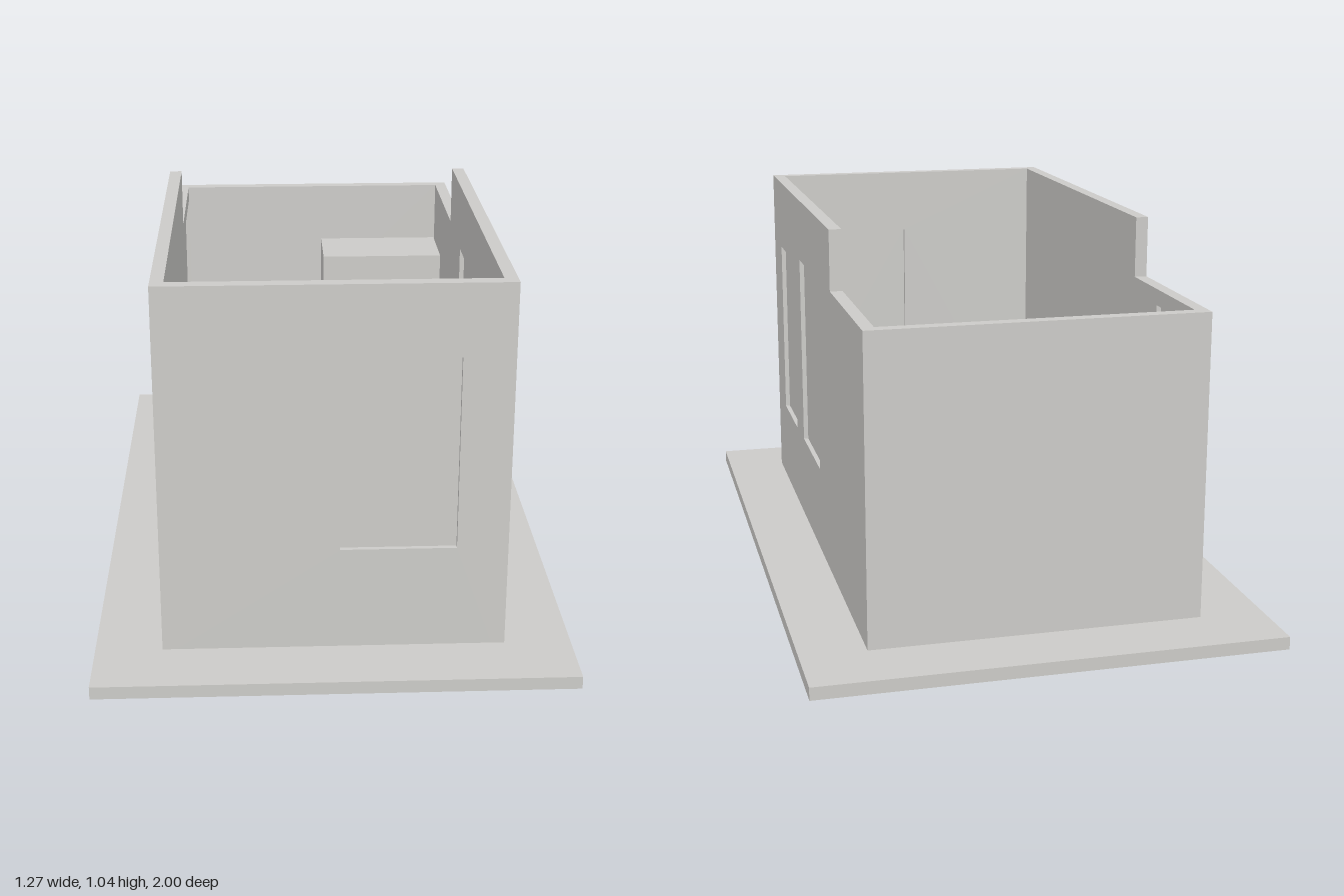
import * as THREE from 'three';
import { RoundedBoxGeometry } from 'three/addons/geometries/RoundedBoxGeometry.js';

const FLOOR = 0.035, LOW = 0.875, HIGH = 1.045, T = 0.035;
const W = 0.455, D = 0.82, STEP = -0.33;

export function createModel() {
  const plaster = new THREE.MeshStandardMaterial({ color: 0xcccbc8 });
  plaster.name = 'plasterGrey';
  const slate = new THREE.MeshStandardMaterial({ color: 0x7c7c8e });
  slate.name = 'slateBlue';

  const model = new THREE.Group();
  model.name = 'roomModel';

  const group = (name, parent = model) => {
    const g = new THREE.Group();
    g.name = name;
    parent.add(g);
    return g;
  };
  const add = (parent, name, geometry, material = plaster) => {
    const m = new THREE.Mesh(geometry, material);
    m.name = name;
    parent.add(m);
    return m;
  };
  // Box given by its limits on each axis; a radius rounds its edges
  const box = (parent, name, [x0, x1], [y0, y1], [z0, z1], material = plaster, r = 0) => {
    const s = [x1 - x0, y1 - y0, z1 - z0];
    const geo = r ? new RoundedBoxGeometry(...s, 4, r) : new THREE.BoxGeometry(...s);
    const m = add(parent, name, geo, material);
    m.position.set((x0 + x1) / 2, (y0 + y1) / 2, (z0 + z1) / 2);
    return m;
  };
  // Straight round bar between two points
  const bar = (parent, name, a, b, r) => {
    const p = new THREE.Vector3(...a), q = new THREE.Vector3(...b);
    const m = add(parent, name, new THREE.CylinderGeometry(r, r, p.distanceTo(q), 10));
    m.position.copy(p).add(q).multiplyScalar(0.5);
    m.quaternion.setFromUnitVectors(new THREE.Vector3(0, 1, 0), q.sub(p).normalize());
    return m;
  };
  const rectHole = (u0, u1, v0, v1) => new THREE.Path([
    [u0, v0], [u0, v1], [u1, v1], [u1, v0]].map(p => new THREE.Vector2(...p)));
  const wallGeometry = (points, holes) => {
    const shape = new THREE.Shape(points.map(p => new THREE.Vector2(...p)));
    shape.holes = holes;
    return new THREE.ExtrudeGeometry(shape, { depth: T, bevelEnabled: false });
  };

  box(model, 'baseSlab', [-0.633, 0.633], [0, FLOOR], [-1, 1]);

  // Walls, stepped down towards the back; the side profiles run along -z
  const walls = group('walls');
  const top = [[-STEP, LOW], [-STEP, HIGH], [-D, HIGH]];
  const sideWall = (name, x, bottom, holes) => {
    const m = add(walls, name, wallGeometry([...bottom, [D, LOW], ...top], holes));
    m.rotation.y = Math.PI / 2;
    m.position.x = x;
  };
  const sideWindows = [[0.39, 0.66, 0.285, 0.83], [-0.08, 0.245, 0.29, 0.86]];
  sideWall('leftWall', W - T, [[-D, FLOOR], [D, FLOOR]],
    sideWindows.map(([z0, z1, y0, y1]) => rectHole(-z1, -z0, y0, y1)));
  const door = { z0: -0.79, z1: -0.51, top: 0.83 };
  sideWall('rightWall', -W, [[-D, FLOOR], [-door.z1, FLOOR], [-door.z1, door.top],
    [-door.z0, door.top], [-door.z0, FLOOR], [D, FLOOR]], []);
  const fw = [0.015, 0.32, 0.32, 0.85], inner = W - T;
  add(walls, 'frontWall', wallGeometry(
    [[-inner, FLOOR], [inner, FLOOR], [inner, HIGH], [-inner, HIGH]],
    [rectHole(...fw)])).position.z = D - T;
  box(walls, 'backWall', [-inner, inner], [FLOOR, LOW], [-D, -D + T]);

  // Panes and door leaf set in the middle of the wall
  const mid = W - T / 2, p = 0.004;
  for (const [z0, z1, y0, y1] of sideWindows)
    box(model, 'sideWindowPane', [mid - p, mid + p], [y0, y1], [z0, z1]);
  box(model, 'frontWindowPane', [fw[0], fw[1]], [fw[2], fw[3]], [D - T / 2 - p, D - T / 2 + p]);
  box(model, 'doorLeaf', [-mid - p, -mid + p], [FLOOR, door.top], [door.z0, door.z1]);

  // Bed
  const bed = group('bed');
  box(bed, 'headboard', [-0.383, -0.365], [FLOOR, 0.34], [0.37, 0.785]);
  box(bed, 'footboard', [0.365, 0.385], [FLOOR, 0.25], [0.37, 0.785]);
  for (const z of [0.37, 0.77])
    box(bed, 'bedRail', [-0.365, 0.365], [0.09, 0.16], [z, z + 0.015]);
  box(bed, 'mattress', [-0.365, 0.365], [0.11, 0.225], [0.38, 0.775], plaster, 0.03);
  box(bed, 'pillow', [-0.365, -0.26], [0.21, 0.265], [0.4, 0.75], plaster, 0.026);

  // Desk against the right wall
  const desk = group('desk');
  box(desk, 'deskTop', [-0.42, -0.18], [0.31, 0.328], [-0.305, 0.235]);
  for (const z of [-0.305, 0.22])
    box(desk, 'deskSide', [-0.42, -0.185], [FLOOR, 0.31], [z, z + 0.015]);

  // Slatted chair pushed under the desk
  const chair = group('deskChair');
  box(chair, 'chairSeat', [-0.31, -0.155], [0.2, 0.215], [-0.12, 0.055]);
  for (const z of [-0.113, 0.048]) {
    bar(chair, 'chairFrontLeg', [-0.3, FLOOR, z], [-0.3, 0.2, z], 0.007);
    bar(chair, 'chairBackPost', [-0.16, FLOOR, z], [-0.16, 0.21, z], 0.007);
    bar(chair, 'chairBackPost', [-0.16, 0.21, z], [-0.133, 0.39, z], 0.007);
  }
  for (let i = 0; i < 6; i++) {
    const z = -0.09 + i * 0.023;
    bar(chair, 'chairSlat', [-0.16, 0.215, z], [-0.135, 0.385, z], 0.005);
  }
  box(chair, 'chairTopRail', [-0.145, -0.12], [0.375, 0.4], [-0.12, 0.06], plaster, 0.006);

  // Swivel chair with five legs, a scooped seat and a curved back
  const swivel = group('swivelChair');
  swivel.position.set(-0.25, 0, -0.51);
  for (let i = 0; i < 5; i++) {
    const a = -Math.PI / 2 + i * Math.PI * 0.4 + Math.PI;
    const x = Math.cos(a + Math.PI) * 0.09, z = Math.sin(a + Math.PI) * 0.09;
    bar(swivel, 'swivelLeg', [0, 0.075, 0], [x, 0.055, z], 0.007);
    const wheel = add(swivel, 'caster', new THREE.SphereGeometry(0.01, 12, 8));
    wheel.position.set(x, 0.045, z);
  }
  bar(swivel, 'gasColumn', [0, 0.065, 0], [0, 0.2, 0], 0.011);
  const seatProfile = [[0, 0.195], [0.05, 0.197], [0.065, 0.21], [0.06, 0.219], [0, 0.21]];
  const seat = add(swivel, 'swivelSeat', new THREE.LatheGeometry(
    seatProfile.map(q => new THREE.Vector2(...q)), 28));
  seat.scale.z = 1.25;
  seat.position.z = 0.005;
  const arc = new THREE.Shape();
  arc.absarc(0, 0, 0.078, Math.PI * 0.25, Math.PI * 0.75, false);
  arc.absarc(0, 0, 0.066, Math.PI * 0.75, Math.PI * 0.25, true);
  const back = add(swivel, 'swivelBack', new THREE.ExtrudeGeometry(arc,
    { depth: 0.13, bevelEnabled: false, curveSegments: 16 }));
  back.rotation.x = -Math.PI / 2;
  back.position.set(0, 0.26, -0.035);
  bar(swivel, 'backSupport', [0, 0.2, -0.06], [0, 0.3, -0.11], 0.007);

  // Wardrobe in the back corner
  const wardrobe = group('wardrobe');
  box(wardrobe, 'wardrobeBody', [0.03, 0.418], [FLOOR, 0.69], [-0.785, -0.57]);
  for (const x of [0.205, 0.317])
    box(wardrobe, 'wardrobeHandle', [x - 0.004, x + 0.004], [0.33, 0.41], [-0.57, -0.548]);

  // Small fridge with a separate door and handle
  const fridge = group('fridge');
  box(fridge, 'fridgeBody', [0.243, 0.418], [FLOOR, 0.44], [-0.365, -0.188], slate);
  box(fridge, 'fridgeDoor', [0.23, 0.24], [0.045, 0.44], [-0.365, -0.188], slate);
  box(fridge, 'fridgeHandle', [0.213, 0.23], [0.27, 0.36], [-0.348, -0.338]);

  // Low cabinet beside the fridge
  const cabinet = group('cabinet');
  box(cabinet, 'cabinetBody', [0.275, 0.418], [FLOOR, 0.26], [-0.186, 0.01]);
  const knob = add(cabinet, 'cabinetKnob', new THREE.SphereGeometry(0.007, 12, 8));
  knob.position.set(0.269, 0.18, -0.03);

  return model;
}
